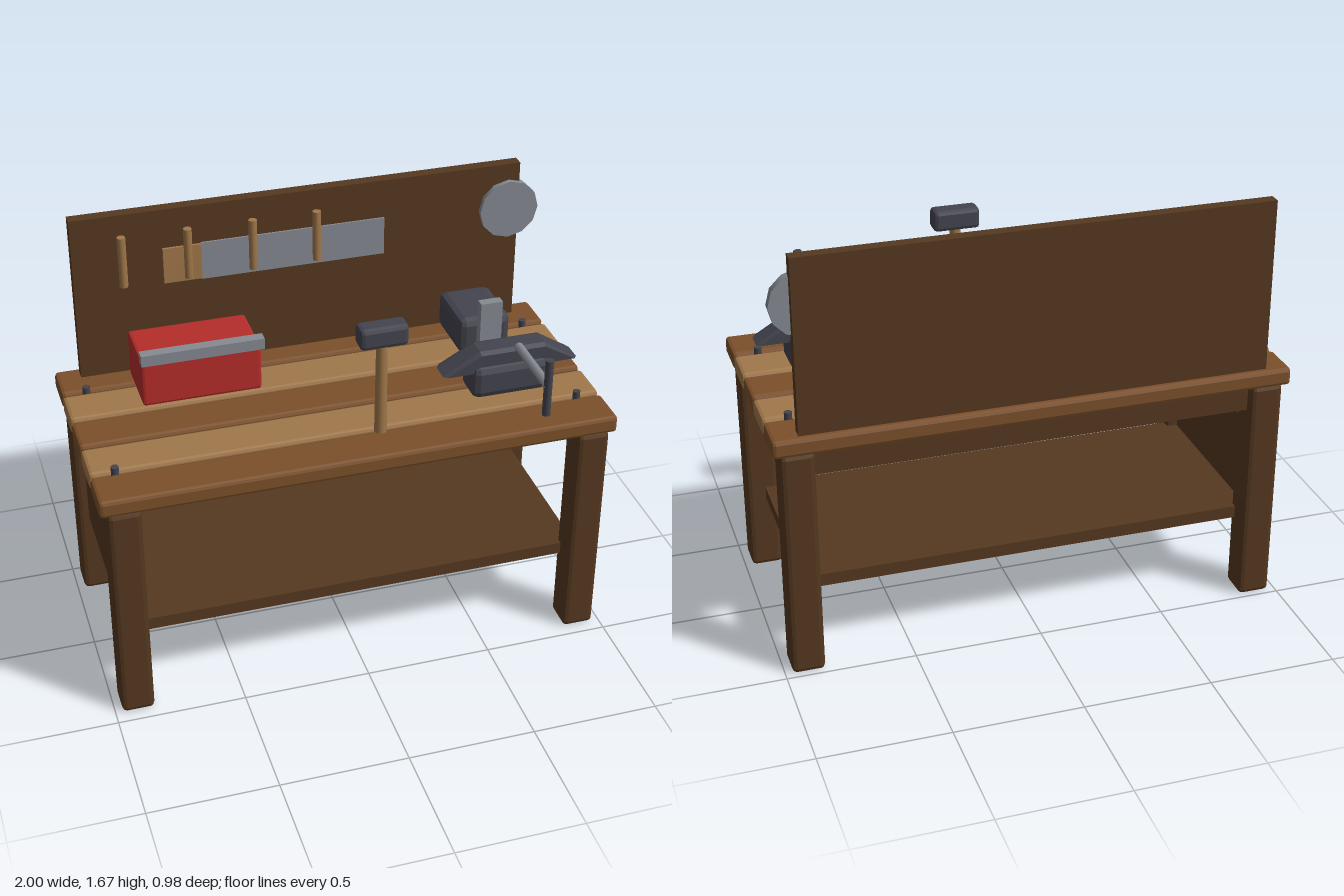
import * as THREE from 'three';
import { RoundedBoxGeometry } from 'three/addons/geometries/RoundedBoxGeometry.js';

const mat = (name, color) => {
  const m = new THREE.MeshStandardMaterial({ color });
  m.name = name;
  return m;
};

export function createModel() {
  const model = new THREE.Group();
  model.name = 'workbench';

  const darkWood = mat('dark wood', 0x553920);
  const midWood = mat('mid wood', 0x7c502a);
  const lightWood = mat('light wood', 0xa0774a);
  const steel = mat('steel', 0x868b93);
  const iron = mat('dark iron', 0x43444e);
  const red = mat('red paint', 0xb52d29);

  const add = (name, geometry, material, x = 0, y = 0, z = 0) => {
    const mesh = new THREE.Mesh(geometry, material);
    mesh.name = name;
    mesh.position.set(x, y, z);
    model.add(mesh);
    return mesh;
  };

  // Box given by its [min, max] along each axis, with an optional chamfer
  const box = (name, material, [x0, x1], [y0, y1], [z0, z1], chamfer = 0) => {
    const size = [x1 - x0, y1 - y0, z1 - z0];
    const geometry = chamfer
      ? new RoundedBoxGeometry(...size, 1, chamfer)
      : new THREE.BoxGeometry(...size);
    if (chamfer) geometry.computeVertexNormals();
    return add(name, geometry, material, (x0 + x1) / 2, (y0 + y1) / 2, (z0 + z1) / 2);
  };

  // Table top: five planks in alternating wood
  for (let i = 0; i < 5; i++) {
    const z = -0.4 + i * 0.1915;
    box('topPlank', i % 2 ? lightWood : midWood, [-1, 1], [0.92, 0.99], [z - 0.087, z + 0.087], 0.014);
  }

  // Legs and the bolts above them
  for (const x of [-0.909, 0.909]) {
    for (const z of [-0.416, 0.387]) {
      box('leg', darkWood, [x - 0.063, x + 0.063], [0, 0.925], [z - 0.065, z + 0.065], 0.018);
    }
    for (const z of [-0.305, 0.267]) {
      add('bolt', new THREE.CylinderGeometry(0.015, 0.015, 0.05, 8), iron, x * 0.995, 0.987, z);
    }
  }

  // Frame: back rail, lower shelf, end panel and tool board
  box('backRail', darkWood, [-0.88, 0.88], [0.815, 0.922], [-0.44, -0.39]);
  box('lowerShelf', darkWood, [-0.9, 0.9], [0.31, 0.36], [-0.39, 0.36]);
  box('endPanel', darkWood, [-0.93, -0.89], [0.36, 0.715], [-0.38, 0.35]);
  box('toolBoard', darkWood, [-0.905, 0.9], [0.985, 1.67], [-0.46, -0.413]);

  // Pegs hanging on the board
  for (let i = 0; i < 4; i++) {
    add('peg', new THREE.CylinderGeometry(0.017, 0.017, 0.21, 8), lightWood, -0.715 + i * 0.256, 1.485, -0.388);
  }

  // Saw on the board
  box('sawHandle', lightWood, [-0.555, -0.405], [1.36, 1.508], [-0.42, -0.402]);
  box('sawBlade', steel, [-0.405, 0.335], [1.355, 1.512], [-0.42, -0.406]);

  // Round blade on the board
  const disc = add('roundBlade', new THREE.CylinderGeometry(0.122, 0.122, 0.035, 12), steel, 0.855, 1.48, -0.41);
  disc.rotation.x = Math.PI / 2;

  // Toolbox with its handle bar
  box('toolbox', red, [-0.715, -0.245], [0.99, 1.185], [-0.39, -0.13], 0.012);
  box('toolboxBar', steel, [-0.72, -0.24], [1.19, 1.236], [-0.135, -0.092]);

  // Vise block and jaw plate
  box('viseBody', iron, [0.572, 0.787], [0.992, 1.145], [-0.412, -0.143], 0.028);
  box('viseJaw', steel, [0.64, 0.73], [1.05, 1.236], [-0.138, -0.1]);

  // Anvil: chamfered base and winged top
  box('anvilBase', iron, [0.505, 0.82], [0.995, 1.135], [0.053, 0.2], 0.03);
  const wing = new THREE.Shape([
    [0.405, 1.106], [0.925, 1.106], [0.8, 1.18], [0.54, 1.18],
  ].map(([x, y]) => new THREE.Vector2(x, y)));
  const wingGeometry = new THREE.ExtrudeGeometry(wing, {
    depth: 0.07, bevelEnabled: true, bevelSegments: 1, bevelSize: 0.01, bevelThickness: 0.02,
  });
  add('anvilTop', wingGeometry, iron, 0, 0, 0.092);

  // Screw rod with its cross bar
  const rod = add('screwRod', new THREE.CylinderGeometry(0.018, 0.018, 0.3, 8), steel, 0.69, 1.195, 0.325);
  rod.rotation.x = Math.PI / 2;
  add('screwBar', new THREE.CylinderGeometry(0.017, 0.017, 0.235, 8), iron, 0.69, 1.188, 0.472);

  // Mallet standing on its handle
  add('malletHandle', new THREE.CylinderGeometry(0.022, 0.025, 0.39, 8), lightWood, 0.092, 1.21, 0.319);
  box('malletHead', iron, [0, 0.185], [1.39, 1.475], [0.278, 0.359], 0.016);

  return model;
}
